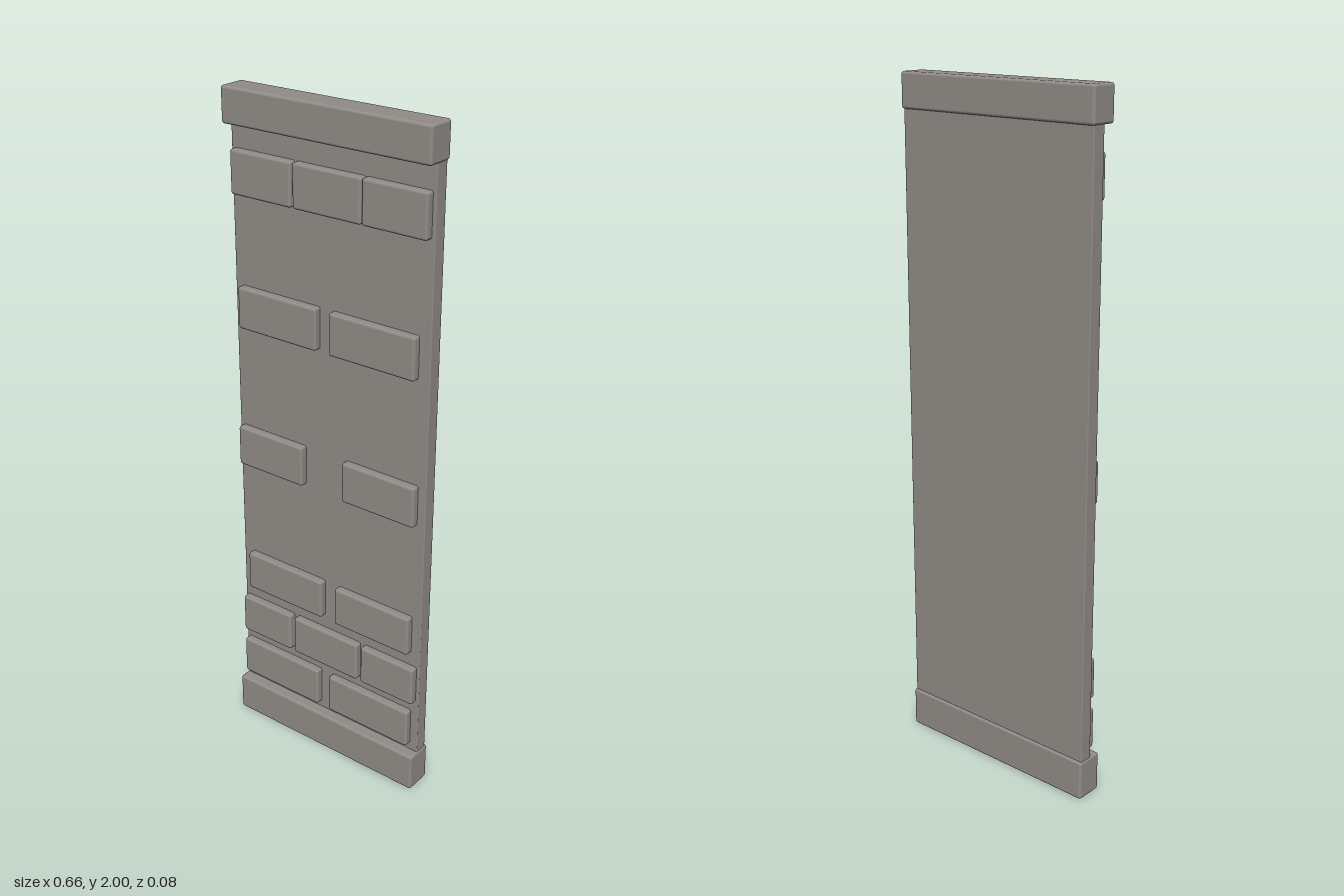
import * as THREE from 'three';
import { RoundedBoxGeometry } from 'three/addons/geometries/RoundedBoxGeometry.js';

export function createModel() {
  const group = new THREE.Group();
  const stone = new THREE.MeshStandardMaterial({ color: 0x918c87 });
  stone.name = 'warm grey stone';

  // Block with softened edges, given by its lower and upper bounds
  function block(name, [x0, x1], [y0, y1], [z0, z1], radius) {
    const geometry = new RoundedBoxGeometry(x1 - x0, y1 - y0, z1 - z0, 2, radius);
    const mesh = new THREE.Mesh(geometry, stone);
    mesh.name = name;
    mesh.position.set((x0 + x1) / 2, (y0 + y1) / 2, (z0 + z1) / 2);
    group.add(mesh);
  }

  // Wall slab between a base course and a top cap
  block('wallPanel', [-0.328, 0.328], [0.08, 1.94], [-0.035, 0.007], 0.003);
  block('baseCourse', [-0.332, 0.332], [0, 0.12], [-0.042, 0.042], 0.008);
  block('topCap', [-0.332, 0.332], [1.9, 2], [-0.042, 0.042], 0.008);

  // Raised bricks: bottom of each row, then the x span of each brick
  const rows = [
    [0.141, [[-0.321, -0.029], [0.012, 0.303]]],
    [0.300, [[-0.321, -0.134], [-0.12, 0.117], [0.131, 0.318]]],
    [0.467, [[-0.295, -0.015], [0.034, 0.297]]],
    [0.891, [[-0.318, -0.083], [0.059, 0.303]]],
    [1.325, [[-0.305, -0.031], [0.012, 0.292]]],
    [1.709, [[-0.318, -0.112], [-0.106, 0.115], [0.118, 0.318]]],
  ];
  rows.forEach(([y, spans], row) => {
    spans.forEach((span, i) => {
      block(`brick_${row + 1}_${i + 1}`, span, [y, y + 0.124], [0, 0.03], 0.008);
    });
  });

  return group;
}
